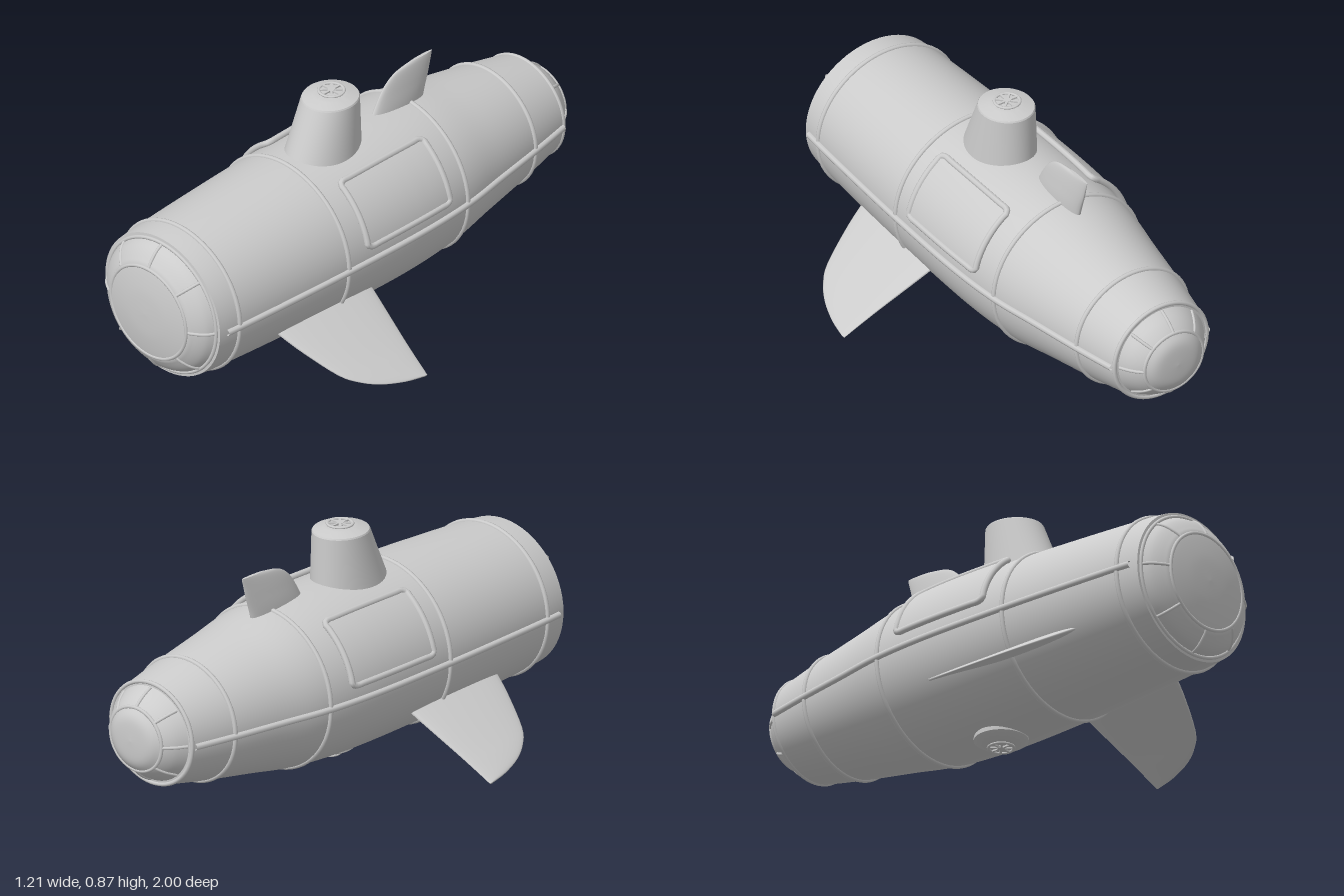
import * as THREE from 'three';
import { ParametricGeometry } from 'three/addons/geometries/ParametricGeometry.js';
import { toCreasedNormals } from 'three/addons/utils/BufferGeometryUtils.js';

const CY = 0.352, SX = 1.04; // hull axis height, sideways stretch
const mat = new THREE.MeshStandardMaterial({ color: 0xcccccc, side: THREE.DoubleSide });
const V2 = (p) => new THREE.Vector2(p[0], p[1]);

function add(parent, name, geo) {
  const m = new THREE.Mesh(geo, mat);
  m.name = name;
  parent.add(m);
  return m;
}

// Smooth profile of [radius, z] points, rear to front
const smooth = (pts, n) => new THREE.SplineCurve(pts.map(V2)).getPoints(n);
const hullProfile = smooth([[0.19, -0.89], [0.226, -0.71], [0.262, -0.5], [0.296, -0.3], [0.31, -0.05],
  [0.305, 0.3], [0.293, 0.6], [0.281, 0.82], [0.273, 0.91]], 60);
const noseProfile = smooth([[0.258, 0.905], [0.238, 0.94], [0.205, 0.968], [0.175, 0.982], [0.09, 0.996], [0, 1]], 30);
const tailProfile = smooth([[0, -1], [0.075, -0.994], [0.115, -0.972], [0.15, -0.935], [0.178, -0.885]], 30);

// Radius of a profile at a given z
function radiusAt(profile, z) {
  for (let i = 1; i < profile.length; i++) {
    const a = profile[i - 1], b = profile[i];
    if (z <= b.y) return a.x + (b.x - a.x) * THREE.MathUtils.clamp((z - a.y) / (b.y - a.y), 0, 1);
  }
  return profile[profile.length - 1].x;
}

// Point on the hull skin at angle a, raised by off
function skin(z, a, off = 0, profile = hullProfile) {
  const r = radiusAt(profile, z) + off;
  return new THREE.Vector3(SX * r * Math.cos(a), CY + r * Math.sin(a), z);
}

function lathe(parent, name, profile) {
  const m = add(parent, name, new THREE.LatheGeometry(profile, 64).rotateX(Math.PI / 2));
  m.scale.x = SX;
  m.position.y = CY;
  return m;
}

function band(parent, name, r, z, tube) {
  const m = add(parent, name, new THREE.TorusGeometry(r, tube, 8, 64));
  m.scale.x = SX;
  m.position.set(0, CY, z);
}

function tube(parent, name, points, radius, closed = false) {
  const curve = new THREE.CatmullRomCurve3(points, closed, 'centripetal');
  return add(parent, name, new THREE.TubeGeometry(curve, points.length * 2, radius, 8, closed));
}

// Fin lofted along y from stations [span, front z, rear z, thickness]
function fin(parent, name, stations) {
  const spline = (k) => new THREE.SplineCurve(stations.map((s) => new THREE.Vector2(s[0], s[k])));
  const [front, rear, thick] = [spline(1), spline(2), spline(3)];
  const geo = new ParametricGeometry((u, v, target) => {
    const f = front.getPoint(v), z1 = rear.getPoint(v).y, t = thick.getPoint(v).y;
    const a = u * Math.PI * 2;
    const w = (1 - Math.cos(a)) / 2;
    target.set(t / 2 * Math.sin(a), f.x, f.y + (z1 - f.y) * w);
  }, 28, 24);
  const g = new THREE.Group();
  g.name = name;
  add(g, name + 'Blade', geo);
  // close the tip
  const last = stations[stations.length - 1];
  const tip = add(g, name + 'Tip', new THREE.CircleGeometry(0.5, 28).rotateX(-Math.PI / 2));
  tip.scale.set(last[3], 1, Math.abs(last[1] - last[2]));
  tip.position.set(0, last[0], (last[1] + last[2]) / 2);
  parent.add(g);
  return g;
}

// Spoked hatch wheel on a short stem, facing up
function hatchWheel(parent, name) {
  const g = new THREE.Group();
  g.name = name;
  const rim = add(g, name + 'Rim', new THREE.TorusGeometry(0.045, 0.006, 8, 32).rotateX(Math.PI / 2));
  rim.scale.y = 0.7;
  for (let i = 0; i < 4; i++) {
    add(g, name + 'Spoke', new THREE.BoxGeometry(0.088, 0.006, 0.008)).rotation.y = i * Math.PI / 4;
  }
  add(g, name + 'Hub', new THREE.CylinderGeometry(0.013, 0.013, 0.008, 16));
  add(g, name + 'Stem', new THREE.CylinderGeometry(0.012, 0.012, 0.02, 16)).position.y = -0.01;
  parent.add(g);
  return g;
}

export function createModel() {
  const sub = new THREE.Group();
  sub.name = 'submarine';

  // Hull with flat end rims
  const first = hullProfile[0], last = hullProfile[hullProfile.length - 1];
  lathe(sub, 'hull', hullProfile);
  lathe(sub, 'frontRim', [last, V2([0.25, 0.912])]);
  lathe(sub, 'rearRim', [V2([0.17, -0.892]), first]);
  for (const z of [0.82, 0.3, -0.3, -0.71]) band(sub, 'hullBand', radiusAt(hullProfile, z), z, 0.009);
  band(sub, 'rearBand', 0.188, -0.888, 0.008);

  // Nose and tail domes with rings and radial ribs
  const domes = [
    ['nose', noseProfile, 0.915, 0.979, 0.178],
    ['tail', tailProfile, -0.895, -0.968, 0.118],
  ];
  for (const [name, profile, z0, z1, ringR] of domes) {
    lathe(sub, name + 'Dome', profile);
    band(sub, name + 'Ring', ringR, z1, 0.007);
    for (let i = 0; i < 8; i++) {
      const pts = [];
      for (let k = 0; k <= 6; k++) pts.push(skin(z0 + (z1 - z0) * k / 6, i * Math.PI / 4, 0, profile));
      tube(sub, name + 'Rib', pts, 0.006);
    }
  }
  band(sub, 'noseBaseRing', 0.257, 0.912, 0.007);

  // Side rails and raised side panels
  for (const side of [1, -1]) {
    const label = side > 0 ? 'left' : 'right';
    const angle = (a) => (side > 0 ? a : Math.PI - a);
    const rail = [];
    for (let k = 0; k <= 30; k++) rail.push(skin(-0.88 + 1.76 * k / 30, angle(0), 0.003));
    tube(sub, label + 'Rail', rail, 0.012);

    const z0 = -0.2, z1 = 0.21, a0 = 0.19, a1 = 1.0;
    add(sub, label + 'Panel', new ParametricGeometry((u, v, target) => {
      target.copy(skin(z0 + (z1 - z0) * u, angle(a0 + (a1 - a0) * v), 0.012));
    }, 16, 20));
    const corners = [[z0, a0], [z1, a0], [z1, a1], [z0, a1]];
    const frame = [];
    corners.forEach((c, i) => {
      const d = corners[(i + 1) % 4];
      for (let k = 0; k <= 12; k++) {
        const t = 0.04 + 0.92 * k / 12;
        frame.push(skin(c[0] + (d[0] - c[0]) * t, angle(c[1] + (d[1] - c[1]) * t), 0.009));
      }
    });
    tube(sub, label + 'PanelFrame', frame, 0.012, true);

    // Down-swept side fin
    const g = fin(sub, label + 'Fin', [[-0.04, 0.61, 0.135, 0.036], [0.08, 0.575, 0.153, 0.03],
      [0.236, 0.51, 0.178, 0.02], [0.3, 0.455, 0.187, 0.017], [0.346, 0.385, 0.193, 0.014],
      [0.38, 0.295, 0.197, 0.011], [0.397, 0.215, 0.2, 0.008]]);
    g.position.set(side * 0.26, 0.202, 0);
    g.rotation.z = -side * Math.PI * 2 / 3;
  }

  // Tail fin
  fin(sub, 'tailFin', [[0.58, -0.09, -0.37, 0.06], [0.66, -0.135, -0.39, 0.056], [0.72, -0.17, -0.41, 0.042],
    [0.76, -0.205, -0.421, 0.03], [0.785, -0.25, -0.428, 0.02], [0.797, -0.32, -0.43, 0.012]]);

  // Tower, raked at the front
  add(sub, 'tower', new ParametricGeometry((u, v, target) => {
    const a = u * Math.PI * 2, mix = THREE.MathUtils.lerp;
    target.set(mix(0.124, 0.1, v) * Math.cos(a), mix(0.58, 0.835, v),
      mix(0.126, 0.075, v) + mix(0.168, 0.108, v) * Math.sin(a));
  }, 48, 8));
  const cap = add(sub, 'towerCap', toCreasedNormals(new THREE.LatheGeometry(
    [[0.1, 0.834], [0.097, 0.84], [0.06, 0.851], [0.05, 0.853], [0, 0.853]].map(V2), 48), 0.5));
  cap.scale.z = 1.08;
  cap.position.z = 0.075;
  hatchWheel(sub, 'topWheel').position.set(0, 0.861, 0.07);

  // Belly hatch
  const belly = add(sub, 'bellyHatch', toCreasedNormals(new THREE.LatheGeometry(
    [[0, 0.018], [0.05, 0.02], [0.09, 0.035], [0.097, 0.04], [0.097, 0.07]].map(V2), 48), 0.5));
  belly.position.z = 0.01;
  const wheel = hatchWheel(sub, 'bellyWheel');
  wheel.position.set(0, 0.012, 0.01);
  wheel.rotation.x = Math.PI;

  return sub;
}
